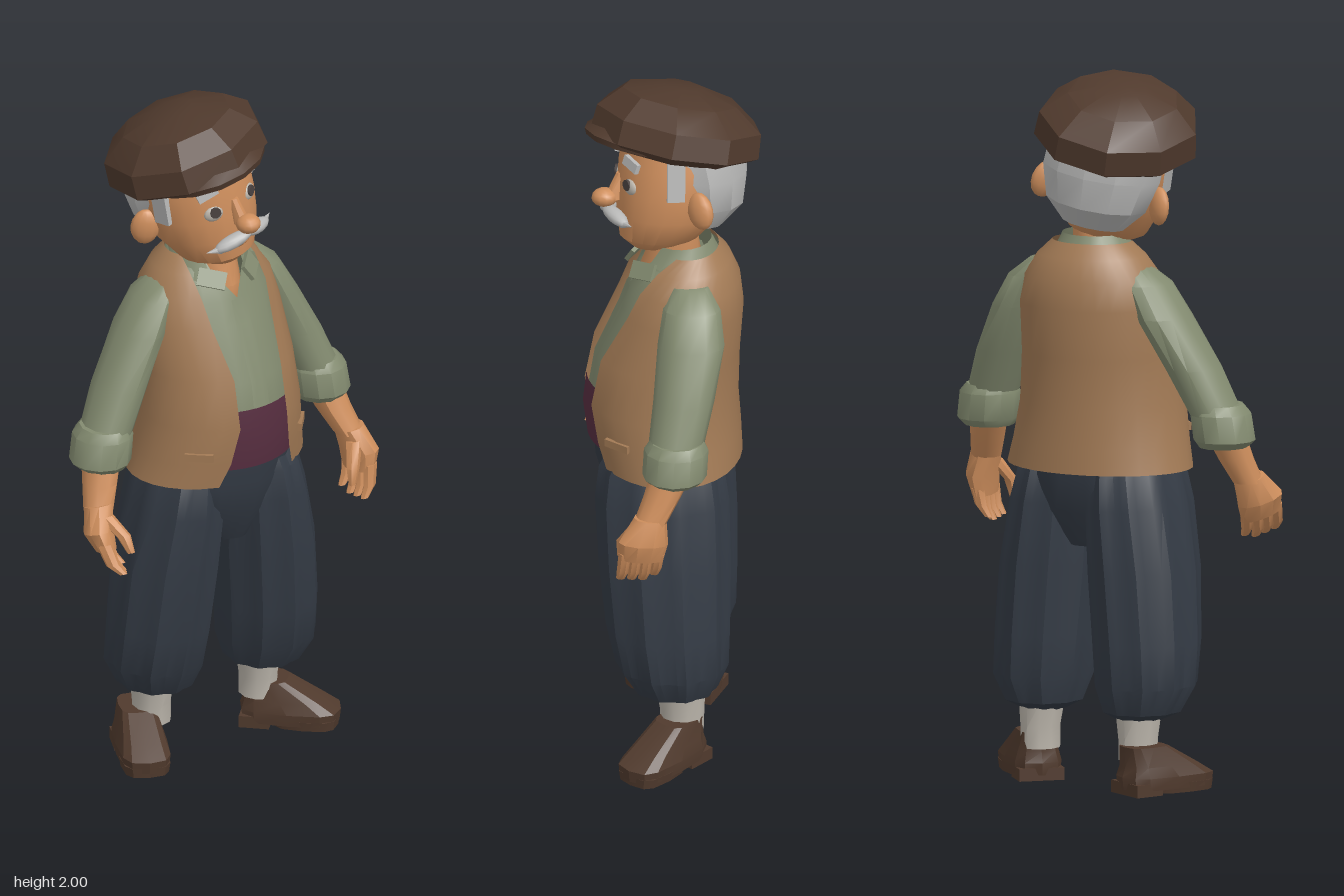
import * as THREE from 'three';
import { toCreasedNormals } from 'three/addons/utils/BufferGeometryUtils.js';

const paint = (name, color, side = THREE.FrontSide) => {
  const m = new THREE.MeshStandardMaterial({ color, side });
  m.name = name;
  return m;
};

// Surface through horizontal rings [cx, y, cz, rx, rz, gap], listed bottom to top.
// gap (radians) opens the ring at the front; arc limits a strip to +-arc around the front.
function loft(rings, { n = 14, fold = 0, k = 8, pow = 1, grow = 0, arc = 0, open = false, crease = 0.7 } = {}) {
  const pos = [], idx = [], w = n + 1;
  const bend = v => Math.sign(v) * Math.abs(v) ** pow;
  for (const [cx, y, cz, rx, rz, gap = 0] of rings) {
    const a0 = arc ? -arc : gap, a1 = arc || 2 * Math.PI - gap;
    for (let i = 0; i <= n; i++) {
      const a = a0 + (a1 - a0) * i / n, f = 1 + fold * Math.cos(k * a);
      pos.push(cx + (rx + grow) * f * bend(Math.sin(a)), y, cz + (rz + grow) * f * bend(Math.cos(a)));
    }
  }
  for (let j = 0; j < rings.length - 1; j++)
    for (let i = 0; i < n; i++) {
      const p = j * w + i;
      idx.push(p, p + 1, p + w + 1, p, p + w + 1, p + w);
    }
  if (!open && !arc) {
    const top = (rings.length - 1) * w, c = rings.length * w;
    for (const r of [rings[0], rings[rings.length - 1]]) pos.push(r[0], r[1], r[2]);
    for (let i = 0; i < n; i++) idx.push(c, i + 1, i, c + 1, top + i, top + i + 1);
  }
  const g = new THREE.BufferGeometry();
  g.setAttribute('position', new THREE.Float32BufferAttribute(pos, 3));
  g.setIndex(idx);
  return toCreasedNormals(g, crease);
}

export function createModel() {
  const skin = paint('skin', 0xcf8f5d), brown = paint('dark brown', 0x503a2d), tan = paint('tan', 0xa27a55, THREE.DoubleSide),
    green = paint('sage green', 0x838b70, THREE.DoubleSide), navy = paint('slate navy', 0x343b45), plum = paint('plum', 0x572e40),
    grey = paint('silver hair', 0xb9b9b8), cream = paint('sock cream', 0xbab4aa), dark = paint('eye dark', 0x4a4240);

  const model = new THREE.Group();
  const group = (parent, name, p, r = [0, 0, 0], order = 'XYZ') => {
    const g = new THREE.Group();
    g.name = name;
    g.position.set(...p);
    g.rotation.set(...r, order);
    parent.add(g);
    return g;
  };
  const add = (parent, name, geo, mat, p = [0, 0, 0], r = [0, 0, 0], s = [1, 1, 1]) => {
    const m = new THREE.Mesh(geo, mat);
    m.name = name;
    m.position.set(...p);
    m.rotation.set(...r);
    m.scale.set(...s);
    parent.add(m);
  };
  const ball = new THREE.SphereGeometry(1, 12, 8);
  const box = (x, y, z) => new THREE.BoxGeometry(x, y, z);

  // Torso, turned slightly to its left
  const torso = group(model, 'torso', [0, 0, 0], [0, 0.17, 0]);
  const body = [[0, 0.98, 0.02, 0.21, 0.19], [0, 1.05, 0.025, 0.208, 0.196], [0, 1.2, 0.012, 0.198, 0.185],
    [0, 1.35, -0.03, 0.195, 0.16], [0, 1.42, -0.04, 0.185, 0.145], [0, 1.5, -0.045, 0.135, 0.115, 0.42], [0, 1.53, -0.045, 0.1, 0.1, 0.65]];
  add(torso, 'shirt', loft(body, { n: 22, open: true }), green);
  add(torso, 'shirtPlacket', loft(body.slice(1, 5), { n: 3, arc: 0.13, grow: 0.006 }), green);
  add(torso, 'sash', loft([[0, 0.95, 0.022, 0.214, 0.202], [0, 1.04, 0.027, 0.214, 0.209], [0, 1.13, 0.024, 0.208, 0.202]], { n: 10, arc: 0.65 }), plum);
  const vest = [[0, 0.9, 0.002, 0.27, 0.21, 0.5], [0, 0.97, 0.01, 0.254, 0.215, 0.42], [0, 1.08, 0.02, 0.236, 0.217, 0.36],
    [0, 1.22, 0.005, 0.224, 0.206, 0.38], [0, 1.36, -0.032, 0.218, 0.179, 0.5], [0, 1.44, -0.042, 0.2, 0.16, 0.6],
    [0, 1.5, -0.048, 0.158, 0.128, 0.8], [0, 1.54, -0.05, 0.115, 0.092, 1.15]];
  add(torso, 'vest', loft(vest, { n: 26, open: true }), tan);
  for (const s of [-1, 1])
    add(torso, 'vestPocket', box(0.08, 0.022, 0.012), tan, [s * 0.182, 1.0, 0.162], [0, s * 0.8, 0]);
  add(torso, 'breechesSeat', loft([[0, 0.68, 0.01, 0.09, 0.11], [0, 0.78, 0.01, 0.19, 0.16], [0, 0.88, 0.012, 0.222, 0.186],
    [0, 0.99, 0.015, 0.215, 0.192]], { n: 36, fold: 0.02, k: 9 }), navy);

  // Neck and open collar
  add(torso, 'neck', loft([[0, 1.4, 0.005, 0.06, 0.08], [0, 1.45, 0, 0.066, 0.088], [0, 1.51, -0.015, 0.07, 0.078],
    [0, 1.6, -0.01, 0.07, 0.07]]), skin);
  add(torso, 'collar', loft([[0, 1.48, -0.035, 0.132, 0.125, 0.5], [0, 1.56, -0.035, 0.09, 0.088, 0.85]], { n: 14, open: true }), green);
  for (const s of [-1, 1])
    add(torso, 'collarFlap', box(0.08, 0.05, 0.012), green, [s * 0.068, 1.488, 0.077], [-0.7, s * 0.5, s * 0.6]);

  // Baggy pleated breeches, socks and shoes
  for (const s of [-1, 1]) {
    const leg = [[0.165, 0.2, -0.035, 0.055, 0.065], [0.17, 0.225, -0.03, 0.105, 0.115], [0.177, 0.3, -0.022, 0.135, 0.152],
      [0.17, 0.42, -0.01, 0.138, 0.167], [0.153, 0.62, 0, 0.138, 0.178], [0.131, 0.8, 0.008, 0.124, 0.18],
      [0.12, 0.89, 0.01, 0.11, 0.168], [0.11, 0.96, 0.01, 0.09, 0.13]];
    add(model, 'breechesLeg', loft(leg.map(([x, ...r]) => [s * x, ...r]), { n: 40, fold: 0.04, k: 10, crease: 0.5 }), navy);
    add(model, 'sock', loft([[s * 0.17, 0.09, -0.05, 0.055, 0.06], [s * 0.17, 0.15, -0.05, 0.054, 0.062],
      [s * 0.168, 0.23, -0.045, 0.066, 0.07]], { n: 10 }), cream);
    const shoe = group(model, 'shoe', s > 0 ? [0.245, 0, 0] : [-0.228, 0, -0.005], [0, s > 0 ? 0.9 : -0.33, 0]);
    add(shoe, 'shoeUpper', loft([[0, 0.015, 0, 0.07, 0.138], [0, 0.05, 0, 0.073, 0.142], [0, 0.08, -0.02, 0.064, 0.112],
      [0, 0.135, -0.07, 0.052, 0.064]], { n: 12, pow: 0.6, crease: 0.4 }), brown);
    add(shoe, 'shoeHeel', box(0.13, 0.035, 0.085), brown, [0, 0.0175, -0.093]);
    add(shoe, 'shoeSole', loft([[0, 0.002, 0.045, 0.066, 0.09], [0, 0.03, 0.045, 0.07, 0.093]], { n: 12, pow: 0.6 }), brown);
  }

  // Arms with rolled sleeves
  const arms = [
    { s: 1, sleeve: [[0.352, 1.05, -0.038, 0.07, 0.075], [0.288, 1.2, -0.062, 0.074, 0.085], [0.222, 1.34, -0.078, 0.068, 0.093],
      [0.182, 1.43, -0.078, 0.055, 0.08], [0.14, 1.48, -0.07, 0.035, 0.05]],
      cuff: [0.355, -0.04], wrist: [0.415, 0.89, 0.025], turn: [-0.1, 0.2, 0.14] },
    { s: -1, sleeve: [[-0.38, 1.05, 0.05, 0.072, 0.08], [-0.31, 1.2, 0.02, 0.076, 0.09], [-0.232, 1.34, -0.01, 0.07, 0.095],
      [-0.183, 1.43, -0.02, 0.058, 0.083], [-0.14, 1.48, -0.03, 0.035, 0.05]],
      cuff: [-0.387, 0.055], wrist: [-0.43, 0.89, 0.115], turn: [-0.32, -0.45, 0.02] },
  ];
  for (const { s, sleeve, cuff: [cx, cz], wrist: [wx, wy, wz], turn } of arms) {
    add(model, 'sleeve', loft(sleeve, { n: 12 }), green);
    add(model, 'rolledCuff', loft([[cx, 0.98, cz, 0.068, 0.072], [cx + s * 0.004, 1.0, cz, 0.086, 0.09],
      [cx - s * 0.006, 1.075, cz - 0.004, 0.084, 0.09], [cx - s * 0.012, 1.1, cz - 0.006, 0.068, 0.074]], { n: 12 }), green);
    add(model, 'forearm', loft([[wx, wy - 0.015, wz, 0.042, 0.046], [(wx + cx) / 2, 0.945, (wz + cz) / 2, 0.05, 0.052],
      [cx, 1.03, cz, 0.058, 0.06]], { n: 10 }), skin);
    const hand = group(model, 'hand', [wx, wy, wz], turn);
    add(hand, 'palm', loft([[0, -0.125, 0.015, 0.03, 0.062], [s * 0.012, -0.07, 0.015, 0.044, 0.07],
      [0, 0, 0, 0.042, 0.046]], { n: 10 }), skin);
    for (let i = 0; i < 4; i++) {
      const z = -0.03 + i * 0.031, d = i === 0 ? 0.015 : 0;
      add(hand, 'finger', loft([[-s * 0.034, -0.195 + d, z, 0.012, 0.012], [-s * 0.01, -0.165 + d, z, 0.019, 0.0165],
        [0.004 * s, -0.105, z, 0.022, 0.018]], { n: 7 }), skin);
    }
    add(hand, 'thumb', loft([[-s * 0.066, -0.14, 0.06, 0.011, 0.011], [-s * 0.054, -0.09, 0.06, 0.02, 0.02],
      [-s * 0.012, -0.03, 0.03, 0.024, 0.026]], { n: 7 }), skin);
  }

  // Head, tilted to its right and turned to its left
  const head = group(model, 'head', [-0.04, 1.7, -0.01], [0, 0.26, 0.17], 'ZYX');
  add(head, 'face', loft([[0, -0.172, 0.05, 0.055, 0.06], [0, -0.14, 0.035, 0.11, 0.112], [0, -0.07, 0.005, 0.147, 0.152],
    [0, 0, -0.008, 0.16, 0.163], [0, 0.08, -0.02, 0.162, 0.17], [0, 0.19, -0.02, 0.14, 0.15]], { n: 20 }), skin);
  add(head, 'hair', loft([[0, -0.105, -0.085, 0.09, 0.06], [0, -0.04, -0.08, 0.148, 0.122], [0, 0.05, -0.07, 0.174, 0.142],
    [0, 0.17, -0.045, 0.168, 0.15]], { n: 12, crease: 0.5 }), grey);
  add(head, 'noseBridge', loft([[0, -0.03, 0.165, 0.022, 0.03], [0, 0.045, 0.143, 0.014, 0.016]], { n: 8 }), skin);
  add(head, 'noseTip', ball, skin, [0, -0.025, 0.192], [0, 0, 0], [0.034, 0.027, 0.037]);
  for (const s of [-1, 1]) {
    add(head, 'ear', ball, skin, [s * 0.172, -0.022, -0.045], [0, s * 0.7, s * 0.25], [0.042, 0.054, 0.024]);
    add(head, 'sideburn', box(0.018, 0.14, 0.05), grey, [s * 0.158, 0.075, 0.022], [0, -s * 0.1, 0]);
    add(head, 'eye', ball, cream, [s * 0.068, 0.024, 0.133], [0, s * 0.4, 0], [0.029, 0.023, 0.012]);
    add(head, 'pupil', new THREE.CylinderGeometry(0.016, 0.016, 0.008, 10), dark, [s * 0.069, 0.03, 0.143], [Math.PI / 2, 0, -s * 0.4]);
    add(head, 'eyebrow', box(0.062, 0.028, 0.014), grey, [s * 0.08, 0.095, 0.133], [-0.15, s * 0.45, -s * 0.2]);
    add(head, 'moustache', ball, grey, [s * 0.046, -0.066, 0.17], [0, s * 0.35, -s * 0.2], [0.06, 0.019, 0.024]);
    add(head, 'moustacheTip', new THREE.ConeGeometry(0.013, 0.045, 7), grey, [s * 0.104, -0.076, 0.148], [0, s * 0.4, -s * 1.5]);
  }
  add(head, 'lowerLip', ball, skin, [0, -0.1, 0.14], [0, 0, 0], [0.035, 0.012, 0.018]);

  // Flat cap with a short visor
  const cap = group(model, 'cap', [-0.08, 1.857, -0.022], [-0.17, 0.2, 0.27], 'ZXY');
  add(cap, 'capCrown', loft([[0, -0.06, 0, 0.188, 0.195], [0, -0.035, 0, 0.23, 0.242], [0, 0.035, 0, 0.222, 0.236],
    [0, 0.095, 0.01, 0.155, 0.165], [0, 0.125, 0.01, 0.06, 0.06]], { n: 9, crease: 0.45 }), brown);
  add(cap, 'capVisor', loft([[0, -0.054, 0.075, 0.165, 0.175], [0, -0.037, 0.07, 0.172, 0.188], [0, -0.008, 0.06, 0.15, 0.165]],
    { n: 14, crease: 0.5 }), brown);

  return model;
}
